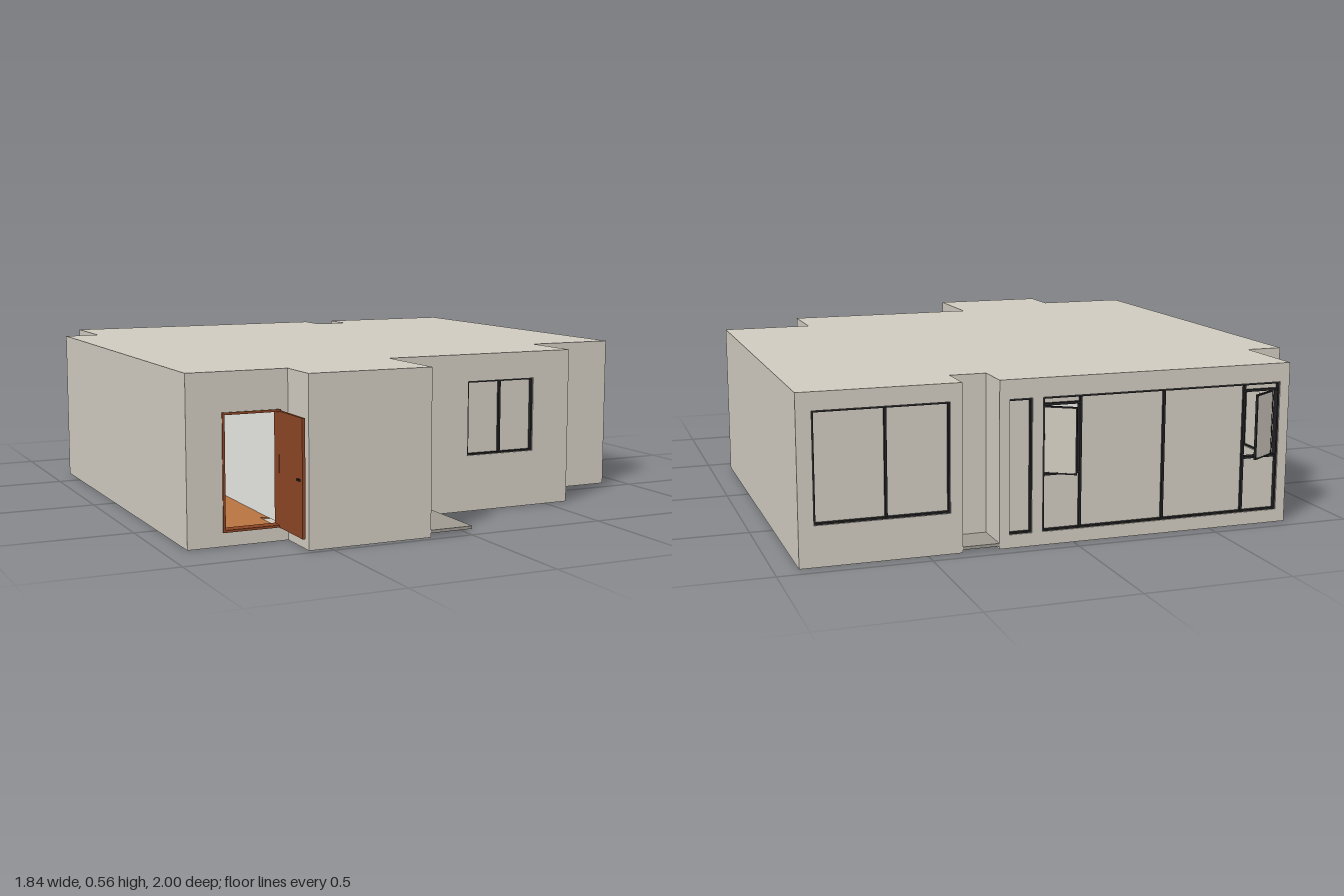
import * as THREE from 'three';

const mat = (name, color, side = THREE.FrontSide) => {
  const m = new THREE.MeshStandardMaterial({ color, side });
  m.name = name;
  return m;
};

export function createModel() {
  const house = new THREE.Group();
  house.name = 'house';

  const plaster = mat('plaster', 0xcfcabf);
  const pavingGrey = mat('pavingGrey', 0x9d9991);
  const frameBlack = mat('frameBlack', 0x232325);
  const white = mat('white', 0xf2f1ee);
  const brown = mat('brownWood', 0x8a4524);
  const floorWood = mat('floorWood', 0xb8733f);

  const mesh = (parent, name, geo, material) => {
    const m = new THREE.Mesh(geo, material);
    m.name = name;
    parent.add(m);
    return m;
  };
  // Box given by its minimum and maximum corners
  const box = (parent, name, material, x0, x1, y0, y1, z0, z1) => {
    const m = mesh(parent, name, new THREE.BoxGeometry(x1 - x0, y1 - y0, z1 - z0), material);
    m.position.set((x0 + x1) / 2, (y0 + y1) / 2, (z0 + z1) / 2);
    return m;
  };

  // Footprint corners (x, z); each edge has its outside on local +z
  const plan = [
    [-0.92, 0.81], [-0.575, 0.81], [-0.575, 0.975], [-0.14, 0.975],
    [-0.14, 0.67], [0.59, 0.67], [0.59, 0.435], [0.92, 0.435],
    [0.92, -0.95], [0.385, -0.95], [0.385, -0.815], [0.26, -0.815],
    [0.26, -0.95], [-0.79, -0.95], [-0.79, -0.66], [-0.92, -0.66],
  ];
  const BASE = 0.035, TOP = 0.56, WALL = 0.035;

  const slab = (name, material, y0, y1) => {
    const shape = new THREE.Shape(plan.map(([x, z]) => new THREE.Vector2(x, -z)));
    const geo = new THREE.ExtrudeGeometry(shape, { depth: y1 - y0, bevelEnabled: false });
    geo.rotateX(-Math.PI / 2);
    mesh(house, name, geo, material).position.y = y0;
  };
  slab('foundation', plaster, 0, BASE);
  slab('roof', plaster, TOP - 0.03, TOP);

  // Openings by edge index: u0, u1 along the wall, y0, y1, mullions, kind
  const openings = {
    0: [{ r: [0.12, 0.32, 0.045, 0.43], kind: 'door' }],
    3: [{ r: [0.12, 0.275, 0.195, 0.46] }],
    4: [{ r: [0.04, 0.155, 0.205, 0.47] }, { r: [0.31, 0.58, 0.2, 0.465], mullions: [0.445] }],
    6: [{ r: [0.01, 0.12, 0.205, 0.47] }],
    8: [],
    9: [],
    12: [
      { r: [0.025, 0.113, 0.045, 0.495] },
      { r: [0.15, 1.015, 0.045, 0.495], mullions: [0.285, 0.585, 0.885], kind: 'glazedWall' },
    ],
    13: [{ r: [0.14, 0.25, 0.22, 0.5] }],
  };
  openings[8] = [{ r: [0.05, 0.495, 0.136, 0.5], mullions: [0.285] }];
  // The large rear window belongs to the edge from the left rear corner
  openings[8].edge = 8;

  const frame = (g, name, material, [u0, u1, y0, y1], t, z0, z1) => {
    box(g, name, material, u0, u1, y1 - t, y1, z0, z1);
    box(g, name, material, u0, u1, y0, y0 + t, z0, z1);
    box(g, name, material, u0, u0 + t, y0 + t, y1 - t, z0, z1);
    box(g, name, material, u1 - t, u1, y0 + t, y1 - t, z0, z1);
  };

  plan.forEach(([ax, az], i) => {
    const [bx, bz] = plan[(i + 1) % plan.length];
    const length = Math.hypot(bx - ax, bz - az);
    const list = openings[i] || [];
    const g = new THREE.Group();
    g.name = 'wall';
    g.position.set(ax, 0, az);
    g.rotation.y = Math.atan2(az - bz, bx - ax);
    house.add(g);

    const rect = (P, u0, u1, y0, y1) => new P([[u0, y0], [u1, y0], [u1, y1], [u0, y1]]
      .map(([u, y]) => new THREE.Vector2(u, y)));
    const shape = rect(THREE.Shape, 0, length, BASE, TOP);
    list.forEach(o => shape.holes.push(rect(THREE.Path, ...o.r)));
    const geo = new THREE.ExtrudeGeometry(shape, { depth: WALL, bevelEnabled: false });
    mesh(g, 'wallPanel', geo, plaster).position.z = -WALL;

    list.forEach(({ r, mullions = [], kind }) => {
      const [u0, u1, y0, y1] = r;
      if (kind === 'door') {
        frame(g, 'doorFrame', brown, r, 0.008, -0.036, 0.004);
        return;
      }
      frame(g, 'windowFrame', frameBlack, r, 0.006, -0.03, -0.004);
      mullions.forEach(u => box(g, 'mullion', frameBlack, u - 0.004, u + 0.004, y0, y1, -0.03, -0.008));
      if (kind === 'glazedWall') {
        // Fixed centre panes, with low panes and open casements at both ends
        box(g, 'pane', plaster, mullions[0], mullions[2], y0, y1, -0.025, -0.018);
        [[u0, mullions[0]], [mullions[2], u1]].forEach(([a, b]) => {
          box(g, 'lowPane', plaster, a, b, y0, 0.235, -0.025, -0.018);
          box(g, 'transom', frameBlack, a, b, 0.232, 0.24, -0.03, -0.008);
          box(g, 'transom', frameBlack, a, b, 0.465, 0.473, -0.03, -0.008);
          box(g, 'topPane', plaster, a, b, 0.473, y1, -0.025, -0.018);
        });
      } else {
        box(g, 'pane', plaster, u0, u1, y0, y1, -0.025, -0.018);
      }
    });
  });

  // Rear casements swung outwards
  [[0.105, -0.938, 0.01, -0.997], [-0.735, -0.935, -0.64, -0.997]].forEach(([hx, hz, ex, ez]) => {
    const leaf = new THREE.Group();
    leaf.name = 'openCasement';
    leaf.position.set(hx, 0, hz);
    leaf.rotation.y = Math.atan2(hz - ez, ex - hx);
    const w = Math.hypot(ex - hx, ez - hz);
    frame(leaf, 'casementFrame', frameBlack, [0, w, 0.24, 0.465], 0.005, -0.004, 0.004);
    box(leaf, 'casementPane', plaster, 0.004, w - 0.004, 0.244, 0.461, -0.003, 0.003);
    house.add(leaf);
  });

  // Open front door with handles
  box(house, 'frontDoor', brown, -0.608, -0.598, 0.045, 0.425, 0.815, 1);
  box(house, 'doorHandle', frameBlack, -0.615, -0.591, 0.226, 0.232, 0.965, 0.985);

  // Front and rear steps
  box(house, 'frontStep', pavingGrey, -0.14, 0.015, 0.014, 0.024, 0.67, 0.975);
  box(house, 'rearStep', pavingGrey, 0.26, 0.385, 0.01, 0.02, -0.95, -0.815);

  // Interior floor and partitions
  box(house, 'floor', floorWood, -0.88, 0.55, BASE, 0.04, -0.65, 0.63);
  box(house, 'hallFloor', floorWood, -0.88, -0.6, BASE, 0.04, 0.6, 0.78);
  box(house, 'rearFloor', floorWood, -0.75, 0.22, BASE, 0.04, -0.91, -0.65);
  box(house, 'partition', white, -0.885, -0.745, 0.04, 0.53, 0.2, 0.23);
  box(house, 'partition', plaster, -0.745, -0.71, 0.04, 0.53, 0.1, 0.13);
  box(house, 'partition', white, -0.575, -0.55, 0.04, 0.53, 0.1, 0.8);
  box(house, 'partition', white, 0.3, 0.33, 0.04, 0.53, -0.8, 0.6);

  // Pendant lamp
  const lamp = mesh(house, 'pendantLamp', new THREE.SphereGeometry(0.037, 24, 14), brown);
  lamp.scale.y = 0.5;
  lamp.position.set(-0.675, 0.34, -0.3);
  const cord = mesh(house, 'lampCord', new THREE.CylinderGeometry(0.002, 0.002, 0.18, 8), frameBlack);
  cord.position.set(-0.675, 0.44, -0.3);

  // Dining table, chairs and cabinet
  box(house, 'tableTop', brown, -0.7, -0.45, 0.135, 0.145, -0.4, -0.2);
  for (const x of [-0.69, -0.46]) for (const z of [-0.39, -0.21]) {
    box(house, 'tableLeg', brown, x - 0.006, x + 0.006, 0.04, 0.135, z - 0.006, z + 0.006);
  }
  for (const z of [-0.14, -0.46]) {
    box(house, 'chairSeat', frameBlack, -0.715, -0.66, 0.1, 0.112, z - 0.03, z + 0.03);
    box(house, 'chairBack', frameBlack, -0.715, -0.67, 0.112, 0.22, z + Math.sign(z + 0.3) * 0.03 - 0.004, z + Math.sign(z + 0.3) * 0.03 + 0.004);
    box(house, 'chairBase', brown, -0.715, -0.69, 0.04, 0.1, z - 0.025, z + 0.025);
  }
  box(house, 'cabinet', brown, -0.655, -0.58, 0.145, 0.21, -0.6, -0.52);
  box(house, 'cabinetBase', white, -0.655, -0.58, 0.04, 0.145, -0.6, -0.52);

  return house;
}
